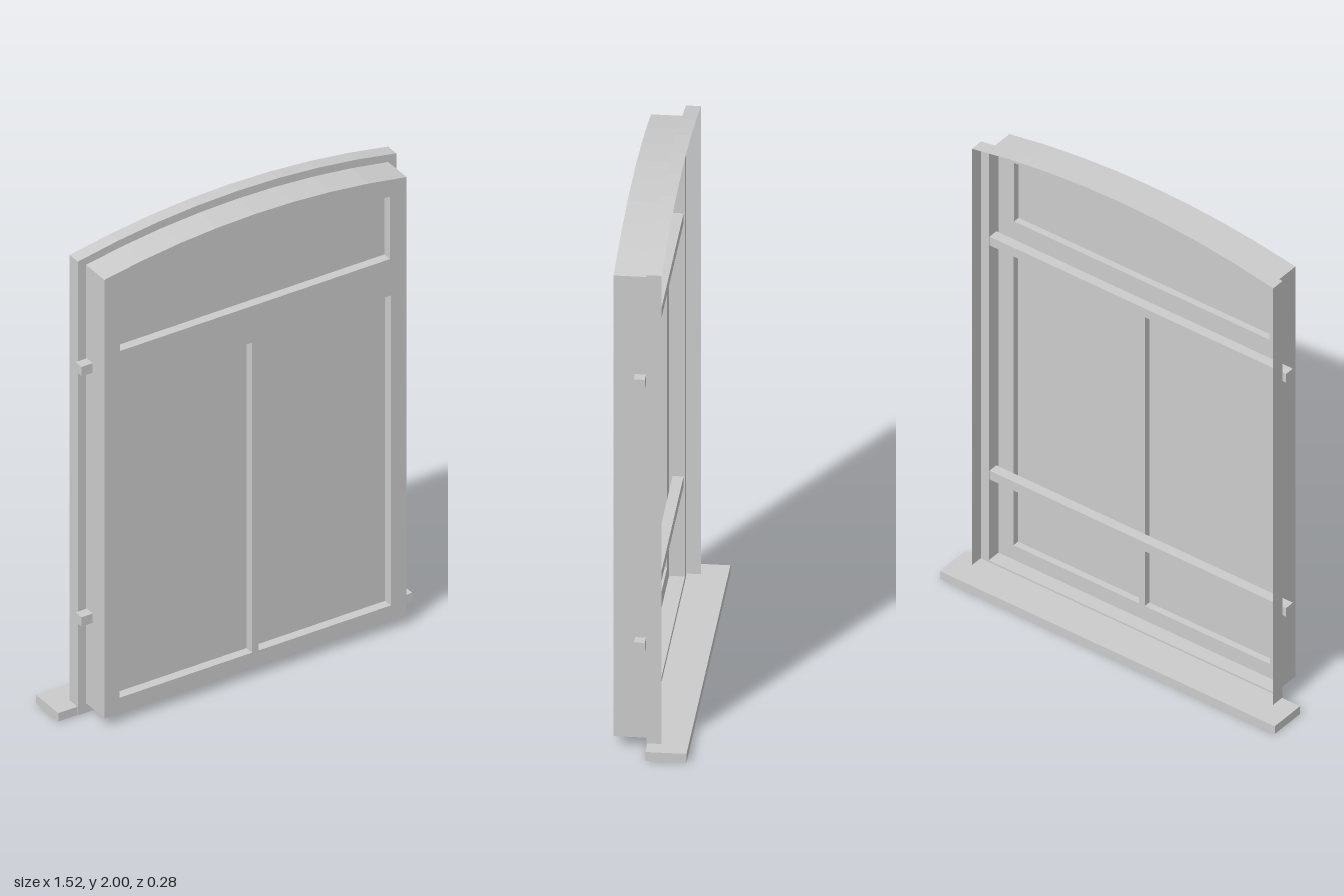
import * as THREE from 'three';

const material = new THREE.MeshStandardMaterial({ color: 0xcccccc, side: THREE.DoubleSide, flatShading: true });

// Counterclockwise outline: rectangle topped by a shallow segmented arch
function archOutline(x0, x1, y0, spring, crown, segments = 8) {
  const points = [new THREE.Vector2(x0, y0), new THREE.Vector2(x1, y0)];
  const half = (x1 - x0) / 2, rise = crown - spring;
  const radius = (half * half + rise * rise) / (2 * rise);
  const sweep = Math.asin(half / radius);
  for (let i = 0; i <= segments; i++) {
    const a = sweep * (1 - (2 * i) / segments);
    points.push(new THREE.Vector2((x0 + x1) / 2 + radius * Math.sin(a), crown - radius + radius * Math.cos(a)));
  }
  return points;
}

function rectOutline(x0, x1, y0, y1) {
  return [[x0, y0], [x1, y0], [x1, y1], [x0, y1]].map(([x, y]) => new THREE.Vector2(x, y));
}

// Thin sheet following a closed outline between two depths
function wallGeometry(outline, z0, z1) {
  const positions = [];
  outline.forEach((a, i) => {
    const b = outline[(i + 1) % outline.length];
    positions.push(a.x, a.y, z0, b.x, b.y, z0, b.x, b.y, z1);
    positions.push(a.x, a.y, z0, b.x, b.y, z1, a.x, a.y, z1);
  });
  const geometry = new THREE.BufferGeometry();
  geometry.setAttribute('position', new THREE.Float32BufferAttribute(positions, 3));
  geometry.computeVertexNormals();
  return geometry;
}

function shapeWithHoles(outline, holes) {
  const shape = new THREE.Shape(outline);
  shape.holes = holes.map((hole) => new THREE.Path(hole));
  return shape;
}

export function createModel() {
  const group = new THREE.Group();
  const add = (name, geometry) => {
    const mesh = new THREE.Mesh(geometry, material);
    mesh.name = name;
    group.add(mesh);
    return mesh;
  };
  const addBox = (name, x0, x1, y0, y1, z0, z1) =>
    add(name, new THREE.BoxGeometry(x1 - x0, y1 - y0, z1 - z0))
      .position.set((x0 + x1) / 2, (y0 + y1) / 2, (z0 + z1) / 2);

  const zFront = 0.138, zSash = 0.073, zGlass = 0.1, zFlange = 0.015, zBack = -0.04;
  const casement = archOutline(-0.645, 0.655, 0.04, 1.905, 1.967);
  const trim = archOutline(-0.68, 0.69, 0, 1.93, 2);
  const openings = [
    rectOutline(-0.58, -0.01, 0.105, 1.425),
    rectOutline(0.017, 0.587, 0.105, 1.425),
    archOutline(-0.577, 0.584, 1.58, 1.845, 1.897),
  ];

  // Sash frame with two lower lights and an arched upper light
  const sash = new THREE.ExtrudeGeometry(shapeWithHoles(casement, openings), { depth: zFront - zSash, bevelEnabled: false });
  add('sashFrame', sash.translate(0, 0, zSash));
  openings.forEach((opening, i) => {
    add(['leftmostPane', 'rightmostPane', 'archedPane'][i],
      new THREE.ShapeGeometry(new THREE.Shape(opening)).translate(0, 0, zGlass));
  });

  // Thin casing behind the sash, then a flange and outer rim
  add('casing', wallGeometry(casement, zFlange, zSash));
  add('trimFlange', new THREE.ShapeGeometry(shapeWithHoles(trim, [casement])).translate(0, 0, zFlange));
  add('trimRim', wallGeometry(trim, zBack, zFlange));

  // Cross bars passing through the casing
  addBox('lowerCrossBar', -0.693, 0.698, 0.405, 0.445, 0.02, 0.06);
  addBox('upperCrossBar', -0.693, 0.698, 1.47, 1.51, 0.02, 0.06);

  // Sill at the back
  addBox('sill', -0.762, 0.76, 0, 0.035, -0.138, 0.012);

  return group;
}
